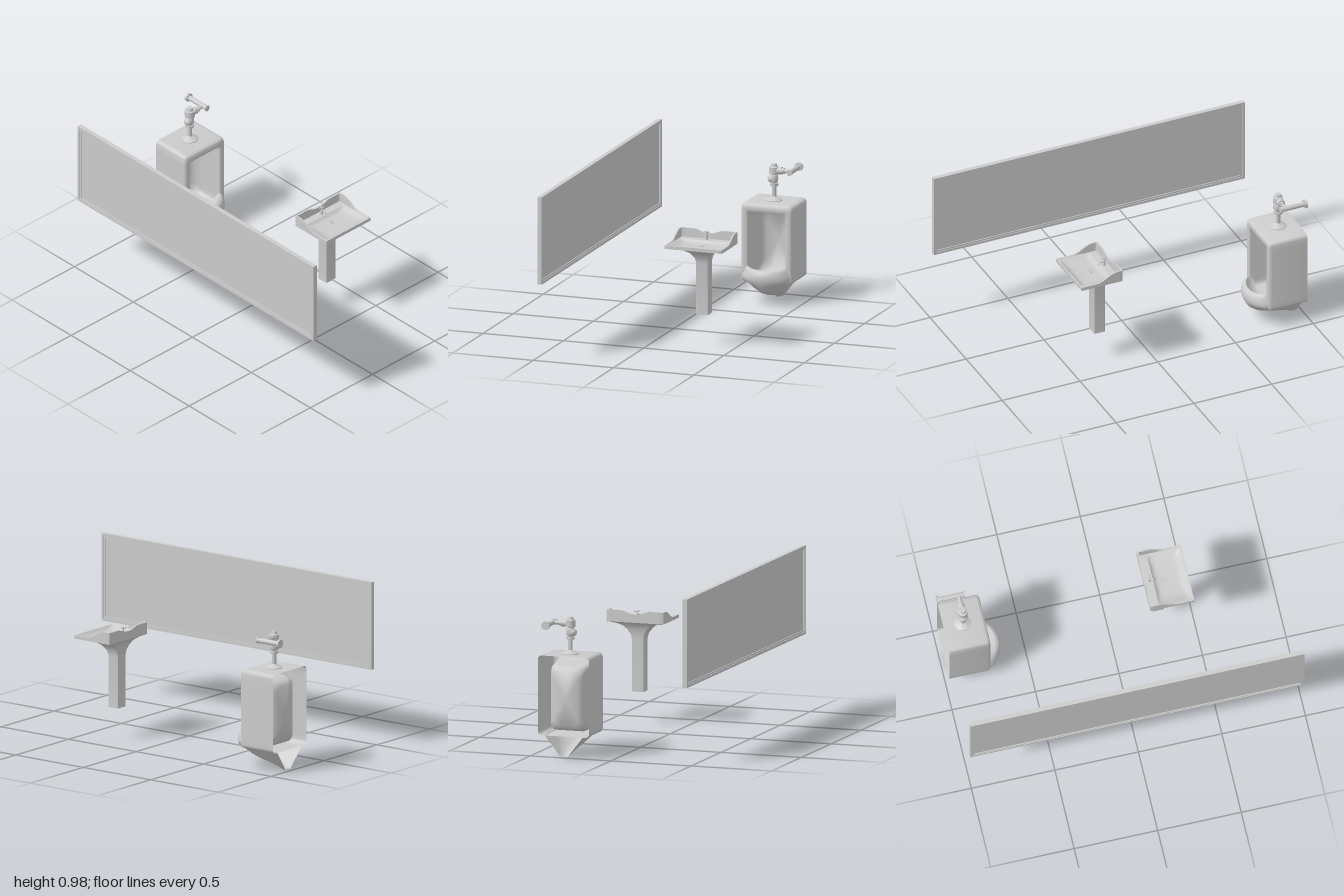
import * as THREE from 'three';
import { toCreasedNormals } from 'three/addons/utils/BufferGeometryUtils.js';

const grey = new THREE.MeshStandardMaterial({ color: 0xcccccc });
const greyDouble = new THREE.MeshStandardMaterial({ color: 0xcccccc, side: THREE.DoubleSide });

function add(group, name, geometry, x = 0, y = 0, z = 0, material = grey) {
  const mesh = new THREE.Mesh(geometry, material);
  mesh.name = name;
  mesh.position.set(x, y, z);
  group.add(mesh);
  return mesh;
}

// Skin a list of cross-sections that all have the same number of points
function loft(rings, closed, crease = 0.6) {
  const n = rings[0].length, index = [];
  for (let i = 0; i < rings.length - 1; i++) {
    for (let j = 0; j < (closed ? n : n - 1); j++) {
      const k = (j + 1) % n;
      const a = i * n + j, b = i * n + k, c = a + n, d = b + n;
      index.push(a, c, b, b, c, d);
    }
  }
  const g = new THREE.BufferGeometry();
  g.setAttribute('position', new THREE.Float32BufferAttribute(rings.flat(2), 3));
  g.setIndex(index);
  return toCreasedNormals(g, crease);
}

// Rounded rectangle as [u, v] pairs, with subdivided sides
function roundedRect(cu, cv, hu, hv, r, arc = 5, side = 12) {
  const pts = [];
  const signs = [[1, 1], [-1, 1], [-1, -1], [1, -1]];
  const corner = (q, t) => {
    const a = (q + t) * Math.PI / 2;
    return [cu + signs[q][0] * (hu - r) + r * Math.cos(a), cv + signs[q][1] * (hv - r) + r * Math.sin(a)];
  };
  for (let q = 0; q < 4; q++) {
    for (let i = 0; i <= arc; i++) pts.push(corner(q, i / arc));
    const a = corner(q, 1), b = corner((q + 1) % 4, 0);
    for (let i = 1; i < side; i++) {
      const t = i / side;
      pts.push([a[0] + (b[0] - a[0]) * t, a[1] + (b[1] - a[1]) * t]);
    }
  }
  return pts;
}

function createMirror() {
  const g = new THREE.Group();
  g.name = 'wallMirror';
  const rect = (path, w, h) => path.moveTo(-w, -h).lineTo(w, -h).lineTo(w, h).lineTo(-w, h).closePath();
  const frame = (w, h, t, depth) => {
    const shape = rect(new THREE.Shape(), w, h);
    shape.holes.push(rect(new THREE.Path(), w - t, h - t));
    return new THREE.ExtrudeGeometry(shape, { depth, bevelEnabled: false });
  };
  add(g, 'mirrorFrame', frame(1, 0.262, 0.015, 0.027), 0, 0.723, 0.448);
  add(g, 'mirrorInnerFrame', frame(0.985, 0.247, 0.01, 0.019), 0, 0.723, 0.452);
  add(g, 'mirrorPanel', new THREE.BoxGeometry(1.952, 0.476, 0.008), 0, 0.723, 0.4615);
  return g;
}

function createSink() {
  const g = new THREE.Group();
  g.name = 'sink';
  // The rim is low in front and rises to a splashback with a central dip
  const rimHeight = (x, z) => {
    const rise = 1 - THREE.MathUtils.smoothstep(x, 0.25, 0.38);
    return 0.625 + rise * (0.05 - 0.02 * Math.exp(-(((z + 0.3) / 0.06) ** 4)));
  };
  // centre x, half x, half z, corner radius, height
  const sections = [
    [0.297, 0, 0, 0, 0.19],
    [0.297, 0.035, 0.037, 0.002, 0.19],
    [0.297, 0.035, 0.037, 0.002, 0.5],
    [0.3, 0.04, 0.043, 0.003, 0.53],
    [0.307, 0.055, 0.062, 0.003, 0.56],
    [0.322, 0.078, 0.09, 0.003, 0.583],
    [0.337, 0.105, 0.125, 0.003, 0.596],
    [0.3475, 0.1325, 0.178, 0.003, 0.605],
    [0.3475, 0.1325, 0.178, 0.003, rimHeight],
    [0.3475, 0.122, 0.168, 0.003, rimHeight],
    [0.3475, 0.12, 0.166, 0.003, 0.622],
    [0.369, 0.096, 0.157, 0.02, 0.621],
    [0.369, 0.091, 0.15, 0.02, 0.616],
    [0.366, 0.076, 0.122, 0.025, 0.606],
    [0.362, 0.06, 0.1, 0.025, 0.604],
    [0.335, 0, 0, 0, 0.603],
  ];
  const rings = sections.map(([cx, hx, hz, r, y]) =>
    roundedRect(cx, -0.3, hx, hz, r).map(([x, z]) => [x, typeof y === 'function' ? y(x, z) : y, z]));
  add(g, 'basinAndPedestal', loft(rings, true), 0, 0, 0, greyDouble);

  const drain = add(g, 'drainRing', new THREE.TorusGeometry(0.013, 0.002, 8, 24), 0.335, 0.605, -0.3);
  drain.rotation.x = Math.PI / 2;

  // Faucet with a cross handle
  add(g, 'faucetPost', new THREE.CylinderGeometry(0.006, 0.009, 0.03, 16), 0.252, 0.636, -0.3);
  const spout = new THREE.CatmullRomCurve3([
    new THREE.Vector3(0.252, 0.643, -0.3), new THREE.Vector3(0.275, 0.65, -0.3), new THREE.Vector3(0.288, 0.634, -0.3)]);
  add(g, 'faucetSpout', new THREE.TubeGeometry(spout, 12, 0.004, 10), 0, 0, 0, greyDouble);
  add(g, 'faucetStem', new THREE.CylinderGeometry(0.004, 0.004, 0.022, 12), 0.252, 0.66, -0.3);
  for (const turn of [0, Math.PI / 2]) {
    const bar = add(g, 'faucetHandle', new THREE.CylinderGeometry(0.003, 0.003, 0.034, 10), 0.252, 0.67, -0.3);
    bar.rotation.set(Math.PI / 2, 0, turn);
  }
  return g;
}

function createUrinal() {
  const g = new THREE.Group();
  g.name = 'urinal';

  // Open-backed housing that folds in at the front to form the cavity
  // x, half width, bottom, top, corner radius
  const housing = [
    [-0.982, 0.16, 0.125, 0.597, 0.025],
    [-0.755, 0.16, 0.125, 0.597, 0.025],
    [-0.742, 0.156, 0.127, 0.592, 0.025],
    [-0.735, 0.146, 0.13, 0.583, 0.025],
    [-0.735, 0.124, 0.148, 0.556, 0.012],
    [-0.74, 0.118, 0.15, 0.547, 0.01],
    [-0.76, 0.115, 0.15, 0.544, 0.01],
    [-0.88, 0.112, 0.145, 0.535, 0.03],
    [-0.925, 0.1, 0.155, 0.525, 0.04],
    [-0.945, 0.075, 0.18, 0.5, 0.04],
    [-0.95, 0, 0.34, 0.34, 0],
  ];
  const housingRings = housing.map(([x, hw, y0, y1, r]) =>
    roundedRect(-0.3, (y0 + y1) / 2, hw, (y1 - y0) / 2, r).map(([z, y]) => [x, y, z]));
  add(g, 'urinalHousing', loft(housingRings, true, 0.7), 0, 0, 0, greyDouble);

  // Bowl: outside from the bottom up, over the lip and down inside
  // height, half width, back x, shoulder x, front x
  const bowl = [
    [0.002, 0, -0.95, -0.95, -0.95],
    [0.003, 0.022, -0.968, -0.965, -0.925],
    [0.015, 0.032, -0.97, -0.96, -0.9],
    [0.03, 0.043, -0.972, -0.94, -0.855],
    [0.05, 0.058, -0.974, -0.9, -0.765],
    [0.07, 0.074, -0.976, -0.85, -0.71],
    [0.1, 0.098, -0.978, -0.79, -0.672],
    [0.126, 0.118, -0.98, -0.755, -0.658],
    [0.14, 0.146, -0.75, -0.745, -0.651],
    [0.16, 0.15, -0.745, -0.742, -0.646],
    [0.18, 0.142, -0.742, -0.74, -0.645],
    [0.2, 0.13, -0.742, -0.738, -0.65],
    [0.214, 0.121, -0.742, -0.736, -0.662],
    [0.217, 0.114, -0.745, -0.738, -0.675],
    [0.205, 0.108, -0.755, -0.742, -0.685],
    [0.175, 0.095, -0.76, -0.75, -0.7],
    [0.155, 0.06, -0.765, -0.755, -0.73],
    [0.148, 0, -0.76, -0.76, -0.76],
  ];
  const bowlRings = bowl.map(([y, hw, back, shoulder, front]) => {
    const pts = [[back, y, -0.3 - hw]];
    for (let i = 0; i <= 24; i++) {
      const t = (i / 24 - 0.5) * Math.PI;
      const out = Math.max(0, Math.cos(t)) ** 1.3;
      // the lip climbs slightly where it meets the housing
      const lift = y > 0.19 ? 0.008 * (1 - out) : 0;
      pts.push([shoulder + (front - shoulder) * out, y + lift, -0.3 + hw * Math.sin(t)]);
    }
    pts.push([back, y, -0.3 + hw]);
    return pts;
  });
  add(g, 'urinalBowl', loft(bowlRings, false, 0.9), 0, 0, 0, greyDouble);
  return g;
}

function createFlushValve() {
  const g = new THREE.Group();
  g.name = 'flushValve';
  const X = -0.866, Z = -0.3, Y = 0.777;
  // Turned upright body: flange, pipe, coupling, bulge, chamber and cap
  const profile = [
    [0, 0.594], [0.05, 0.594], [0.05, 0.601], [0.035, 0.61], [0.018, 0.616], [0.013, 0.62], [0.013, 0.682],
    [0.025, 0.684], [0.025, 0.698], [0.018, 0.7], [0.022, 0.708], [0.025, 0.725], [0.024, 0.745], [0.02, 0.753],
    [0.03, 0.757], [0.03, 0.797], [0.02, 0.8], [0.016, 0.816], [0, 0.817],
  ].map(([r, y]) => new THREE.Vector2(r, y));
  add(g, 'valveBody', toCreasedNormals(new THREE.LatheGeometry(profile, 28), 0.6), X, 0, Z);
  add(g, 'valveKnob', new THREE.SphereGeometry(0.025, 20, 14), X, 0.725, Z + 0.014);

  // Supply arm toward the side, then back to the wall
  const arm = (name, r, z0, z1, sides = 20) => {
    const m = add(g, name, new THREE.CylinderGeometry(r, r, z0 - z1, sides), X, Y, (z0 + z1) / 2);
    m.rotation.x = Math.PI / 2;
  };
  arm('armCollar', 0.022, Z, -0.35);
  arm('armNut', 0.018, -0.35, -0.366, 6);
  arm('armPipe', 0.011, -0.366, -0.408);
  const wallPipe = (name, r, x0, x1) => {
    const m = add(g, name, new THREE.CylinderGeometry(r, r, x1 - x0, 24), (x0 + x1) / 2, Y, -0.408);
    m.rotation.z = Math.PI / 2;
  };
  wallPipe('wallPipe', 0.015, -0.985, -0.84);
  wallPipe('stopCap', 0.018, -0.84, -0.83);
  wallPipe('wallFlange', 0.025, -0.998, -0.982);
  return g;
}

export function createModel() {
  const model = new THREE.Group();
  model.name = 'washroomSet';
  model.add(createMirror(), createSink(), createUrinal(), createFlushValve());
  return model;
}
